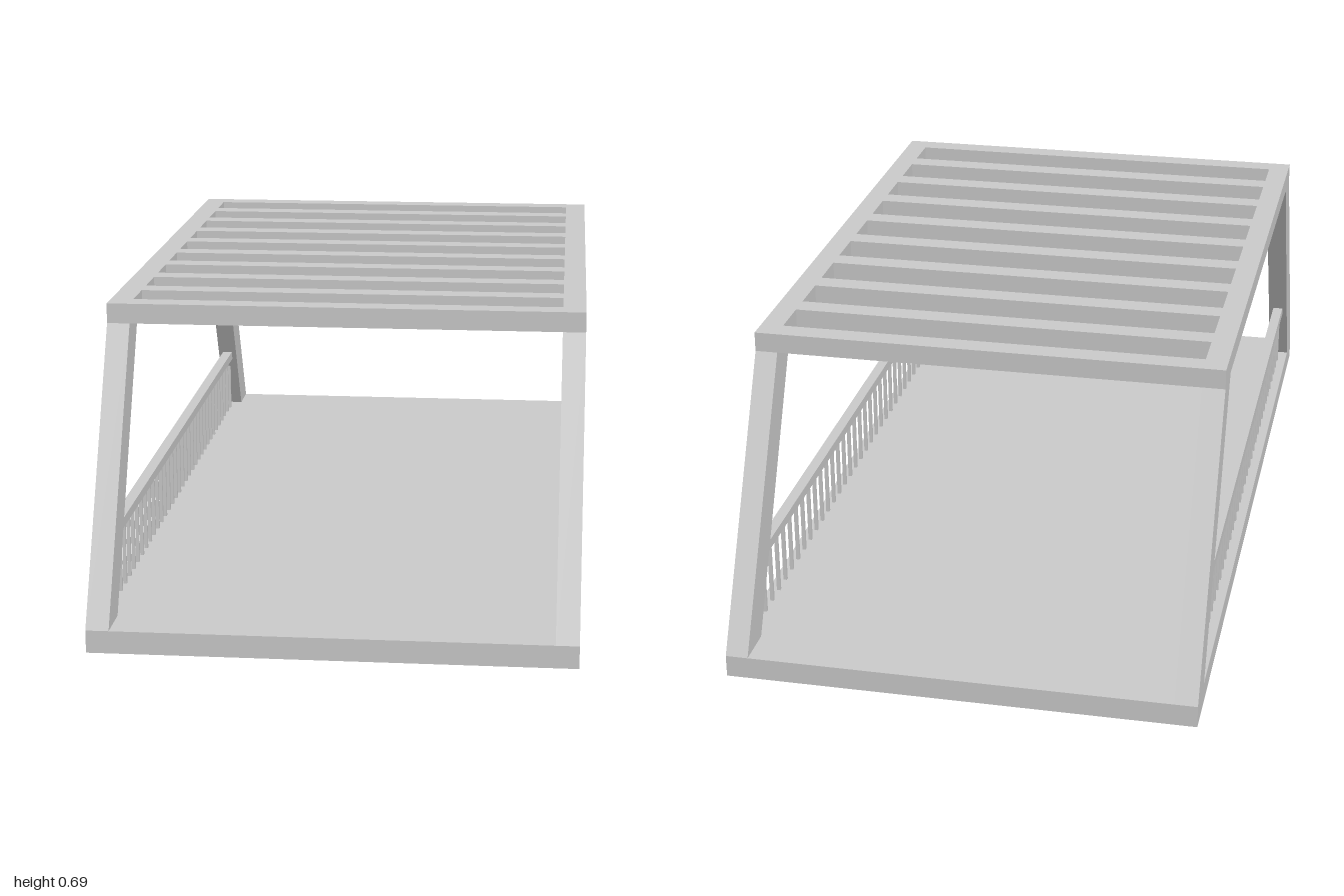
import * as THREE from 'three';

const W = 0.522, T = 0.05; // half width, beam thickness
const BASE_TOP = 0.05, ROOF_Y = 0.648, TOP = 0.692;
const ROOF_Z = 0.69;

export function createModel() {
  const model = new THREE.Group();
  model.name = 'pergolaDeck';
  const mat = new THREE.MeshStandardMaterial({ color: 0xcccccc, flatShading: true });

  // Box given by its extents
  function box(name, x0, x1, y0, y1, z0, z1, parent = model) {
    const mesh = new THREE.Mesh(new THREE.BoxGeometry(x1 - x0, y1 - y0, z1 - z0), mat);
    mesh.position.set((x0 + x1) / 2, (y0 + y1) / 2, (z0 + z1) / 2);
    mesh.name = name;
    parent.add(mesh);
    return mesh;
  }

  // Floor slab
  box('floor', -W, W, 0, BASE_TOP, -1, 1);

  // Leaning post: side outline extruded across the beam width
  function post(name, xMin, end) {
    const outline = [[1, BASE_TOP], [ROOF_Z, ROOF_Y], [0.6, ROOF_Y], [0.905, BASE_TOP]];
    const shape = new THREE.Shape(outline.map(([z, y]) => new THREE.Vector2(-z * end, y)));
    const geo = new THREE.ExtrudeGeometry(shape, { depth: T, bevelEnabled: false });
    geo.rotateY(Math.PI / 2);
    const mesh = new THREE.Mesh(geo, mat);
    mesh.position.x = xMin;
    mesh.name = name;
    model.add(mesh);
  }

  for (const [side, s] of [['left', 1], ['right', -1]]) {
    const xMin = s > 0 ? W - T : -W;
    post(side + 'FrontPost', xMin, 1);
    post(side + 'BackPost', xMin, -1);
    box(side + 'RoofBeam', xMin, xMin + T, ROOF_Y, TOP, -ROOF_Z, ROOF_Z);

    // Railing with thin balusters
    const railing = new THREE.Group();
    railing.name = side + 'Railing';
    model.add(railing);
    const x = xMin + T / 2;
    box('handrail', x - 0.0125, x + 0.0125, 0.2, 0.222, -0.845, 0.845, railing);
    const count = 35;
    for (let i = 0; i < count; i++) {
      const z = -0.845 + (1.69 * i) / (count - 1);
      box('baluster', x - 0.004, x + 0.004, BASE_TOP, 0.2, z - 0.004, z + 0.004, railing);
    }
  }

  // Roof end beams
  const inner = W - T;
  box('frontRoofBeam', -inner, inner, ROOF_Y, TOP, ROOF_Z - T, ROOF_Z);
  box('backRoofBeam', -inner, inner, ROOF_Y, TOP, -ROOF_Z, -ROOF_Z + T);

  // Cross slats, slightly deeper than the frame
  for (let i = 0; i < 8; i++) {
    const z = (i - 3.5) * 0.1485;
    box('roofSlat', -inner, inner, 0.642, TOP, z - T / 2, z + T / 2);
  }
  return model;
}
